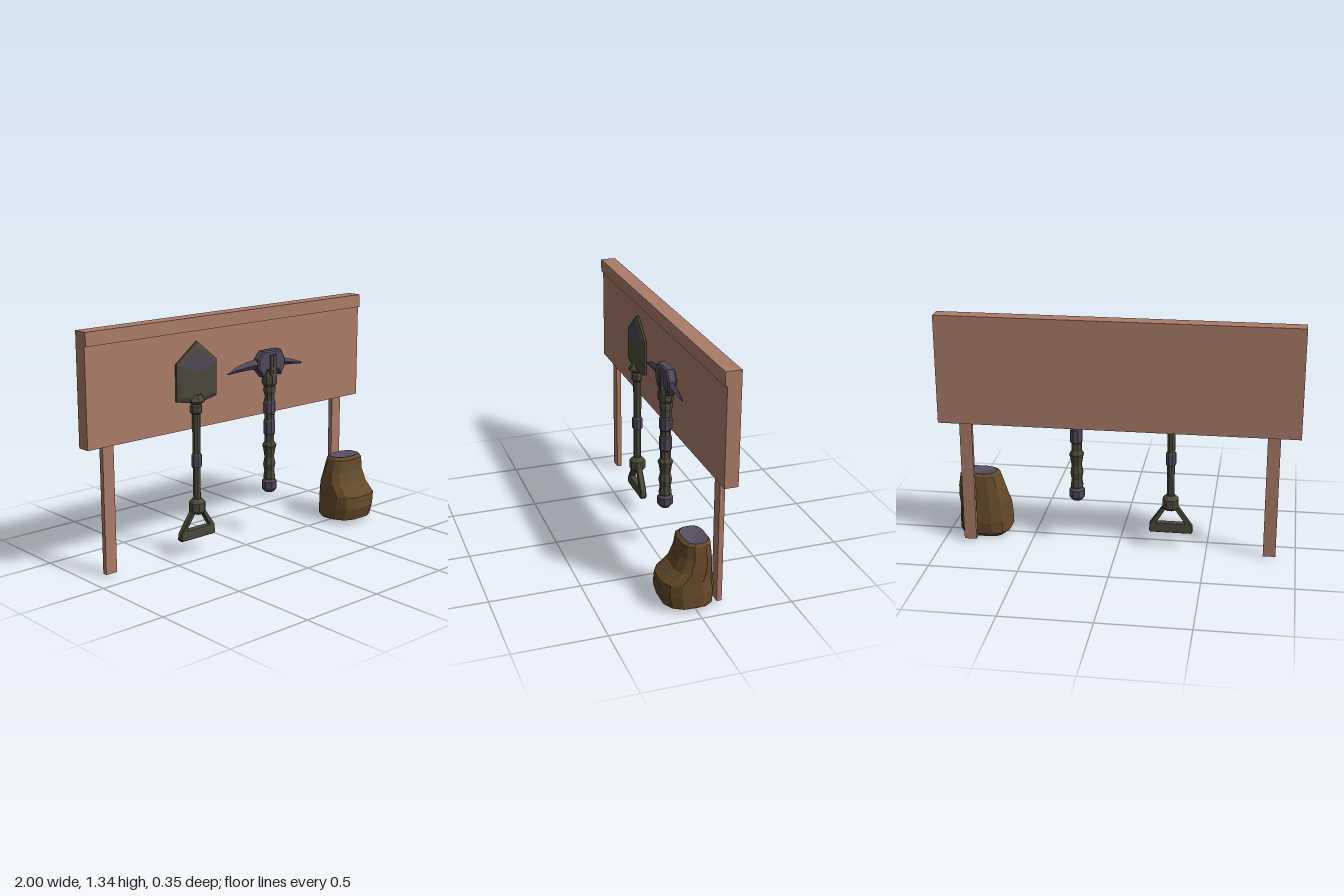
import * as THREE from 'three';

const material = (name, color, side = THREE.FrontSide) => {
  const m = new THREE.MeshStandardMaterial({ color, flatShading: true, side });
  m.name = name;
  return m;
};

// Skin a list of closed rings (arrays of [x, y, z]) and cap both ends; faces always point outwards
function loft(rings, capEnd = true) {
  const n = rings[0].length, tris = [];
  const mid = (r) => [0, 1, 2].map((k) => r.reduce((s, p) => s + p[k], 0) / n);
  const first = rings[0], last = rings[rings.length - 1];
  const c0 = mid(first), c1 = mid(last);
  for (let j = 0; j < n; j++) {
    const k = (j + 1) % n;
    tris.push([c0, first[k], first[j]]);
    if (capEnd) tris.push([c1, last[j], last[k]]);
    for (let i = 0; i < rings.length - 1; i++) {
      const a = rings[i], b = rings[i + 1];
      tris.push([a[j], a[k], b[k]], [a[j], b[k], b[j]]);
    }
  }
  const v = (p) => new THREE.Vector3(...p).sub(new THREE.Vector3(...c0));
  const volume = tris.reduce((s, t) => s + v(t[0]).dot(v(t[1]).cross(v(t[2]))), 0);
  if (volume < 0) tris.forEach((t) => t.reverse());
  const g = new THREE.BufferGeometry();
  g.setAttribute('position', new THREE.Float32BufferAttribute(tris.flat(2), 3));
  g.computeVertexNormals();
  return g;
}

const shapeOf = (pts) => new THREE.Shape(pts.map(([x, y]) => new THREE.Vector2(x, y)));

// Eight-sided turned part; profile rows are [half width, y]
function turned(profile) {
  const pts = profile.map(([r, y]) => new THREE.Vector2(r / Math.cos(Math.PI / 8), y));
  pts.unshift(new THREE.Vector2(0, pts[0].y));
  pts.push(new THREE.Vector2(0, pts[pts.length - 1].y));
  return new THREE.LatheGeometry(pts, 8, Math.PI / 8);
}

export function createModel() {
  const wood = material('board wood', 0xaa7b68);
  const olive = material('olive metal', 0x4b493b);
  const steel = material('purple steel', 0x504859);
  const cloth = material('brown cloth', 0x654a2a);
  const patchMat = material('grey patch', 0x504d3d, THREE.DoubleSide);
  const lining = material('bag lining', 0x564f60, THREE.DoubleSide);

  const model = new THREE.Group();
  const group = (name) => {
    const g = new THREE.Group();
    g.name = name;
    model.add(g);
    return g;
  };
  const add = (parent, name, geo, mat, x = 0, y = 0, z = 0) => {
    const m = new THREE.Mesh(geo, mat);
    m.name = name;
    m.position.set(x, y, z);
    parent.add(m);
    return m;
  };
  const box = (parent, name, mat, x0, x1, y0, y1, z0, z1) =>
    add(parent, name, new THREE.BoxGeometry(x1 - x0, y1 - y0, z1 - z0), mat,
      (x0 + x1) / 2, (y0 + y1) / 2, (z0 + z1) / 2);

  // Sign board on two posts
  const sign = group('signBoard');
  box(sign, 'panel', wood, -1, 1, 0.725, 1.265, -0.175, -0.1);
  box(sign, 'topTrim', wood, -1, 1, 1.265, 1.34, -0.175, -0.088);
  box(sign, 'rightPost', wood, -0.89, -0.82, 0.015, 0.725, -0.153, -0.125);
  box(sign, 'leftPost', wood, 0.815, 0.885, 0.015, 0.725, -0.153, -0.125);

  // Shovel, built around its own shaft axis
  const shovel = group('shovel');
  shovel.position.set(-0.293, 0, -0.084);
  const blade = [[-0.137, 0.895], [-0.137, 1.1], [0.008, 1.21], [0.143, 1.1], [0.143, 0.895], [0.05, 0.875], [-0.04, 0.875]];
  const bladeRing = (s, z) => blade.map(([x, y]) => [0.003 + (x - 0.003) * s, 1.03 + (y - 1.03) * s, z]);
  add(shovel, 'blade', loft([bladeRing(0.8, -0.014), bladeRing(1, -0.006), bladeRing(1, 0.006), bladeRing(0.82, 0.019)]), olive);
  add(shovel, 'bladeTip', new THREE.ShapeGeometry(shapeOf(
    [[-0.108, 1.088], [-0.05, 1.055], [0.003, 1.045], [0.06, 1.055], [0.114, 1.088], [0.007, 1.172]])), steel, 0, 0, 0.021);
  add(shovel, 'shaft', turned([[0.02, 0.3], [0.022, 0.81], [0.032, 0.82], [0.032, 0.855], [0.025, 0.865], [0.05, 0.885], [0.03, 0.92]]), olive);
  add(shovel, 'shaftBand', turned([[0.022, 0.505], [0.028, 0.515], [0.028, 0.575], [0.022, 0.585]]), steel);
  add(shovel, 'shaftSocket', turned([[0.03, 0.24], [0.044, 0.255], [0.044, 0.305], [0.024, 0.328]]), olive);
  const grip = shapeOf([[-0.128, 0.11], [-0.12, 0.1], [0.112, 0.1], [0.118, 0.11], [0.115, 0.155], [0.04, 0.265], [-0.04, 0.265], [-0.125, 0.145]]);
  grip.holes.push(new THREE.Path([[-0.085, 0.16], [-0.025, 0.245], [0.025, 0.245], [0.078, 0.16]].map(([x, y]) => new THREE.Vector2(x, y))));
  add(shovel, 'handGrip', new THREE.ExtrudeGeometry(grip, {
    depth: 0.026, bevelEnabled: true, bevelSize: 0.004, bevelThickness: 0.005, bevelOffset: -0.004, bevelSegments: 1,
  }), olive, 0, 0, -0.013);

  // Pickaxe, built around its own handle axis
  const pick = group('pickaxe');
  pick.position.set(0.24, 0, -0.068);
  add(pick, 'handle', turned([[0.028, 0.33], [0.034, 0.35], [0.028, 0.39], [0.035, 0.43], [0.027, 0.47], [0.034, 0.52],
    [0.04, 0.54], [0.028, 0.56], [0.027, 0.84], [0.033, 0.86], [0.033, 0.88], [0.03, 0.89], [0.042, 0.91], [0.042, 0.95], [0.03, 0.98]]), olive);
  for (const [name, y0, y1] of [['upperBand', 0.73, 0.8], ['lowerBand', 0.61, 0.69]])
    add(pick, name, turned([[0.026, y0 - 0.006], [0.033, y0 + 0.004], [0.033, y1 - 0.004], [0.026, y1 + 0.006]]), steel);
  add(pick, 'pommel', turned([[0.024, 0.262], [0.042, 0.283], [0.042, 0.325], [0.028, 0.342]]), steel);
  const head = shapeOf([[-0.065, 1.1], [-0.105, 1.055], [-0.108, 1.0], [-0.065, 0.95], [-0.04, 0.985], [0.04, 0.985],
    [0.068, 0.95], [0.1, 1.0], [0.1, 1.045], [0.067, 1.1]]);
  add(pick, 'head', new THREE.ExtrudeGeometry(head, {
    depth: 0.036, bevelEnabled: true, bevelSize: 0.008, bevelThickness: 0.008, bevelOffset: -0.008, bevelSegments: 1,
  }), steel, 0, 0, -0.018);
  for (const s of [-1, 1])
    box(pick, 'headStrap', olive, s * 0.014 - 0.009, s * 0.014 + 0.009, 0.91, 1.075, -0.03, 0.036);
  box(pick, 'headWedge', steel, -0.006, 0.006, 0.92, 1.07, -0.028, 0.04);

  // Tapering spikes with diamond sections: [x, top, bottom, half depth]
  const spike = (rows) => loft(rows.map(([x, t, b, d]) => {
    const m = (t + b) / 2;
    return [[x, t, 0], [x, m, d], [x, b, 0], [x, m, -d]];
  }));
  add(pick, 'longSpike', spike([[-0.08, 1.062, 0.998, 0.022], [-0.16, 1.052, 1.002, 0.018], [-0.25, 1.034, 1.0, 0.012], [-0.32, 1.001, 0.996, 0.002]]), steel);
  add(pick, 'shortSpike', spike([[0.08, 1.048, 0.998, 0.022], [0.16, 1.028, 0.996, 0.015], [0.25, 1.0, 0.988, 0.004]]), steel);

  // Slumped sack from cross-sections: [y, x0, x1, back z, front z]
  const sack = group('sack');
  const rows = [
    [0.005, 0.69, 0.9, -0.09, 0.02], [0.03, 0.645, 0.935, -0.115, 0.155], [0.1, 0.645, 0.94, -0.12, 0.175],
    [0.17, 0.65, 0.94, -0.112, 0.17], [0.23, 0.66, 0.936, -0.108, 0.1], [0.3, 0.678, 0.932, -0.1, 0.07],
    [0.375, 0.7, 0.925, -0.09, 0.065], [0.39, 0.715, 0.915, -0.08, 0.045],
  ];
  const sides = 12;
  const power = (v) => Math.sign(v) * Math.abs(v) ** 0.7 / Math.cos(Math.PI / 12) ** 0.7;
  const sackRing = ([y, x0, x1, z0, z1], i) => Array.from({ length: sides }, (_, j) => {
    const a = (j + 0.5) / sides * Math.PI * 2;
    const onFront = j === 0 || j === sides - 1;
    const k = onFront ? 1 : 0.98 + 0.025 * Math.sin(i * 4.7 + j * 7.3);
    return [(x0 + x1) / 2 + (x1 - x0) / 2 * power(Math.sin(a)) * k, y, (z0 + z1) / 2 + (z1 - z0) / 2 * power(Math.cos(a)) * k];
  });
  const rings = rows.map(sackRing);
  add(sack, 'sackBody', loft(rings, false), cloth).material.side = THREE.DoubleSide;

  // Sunken mouth of the sack
  const rim = rings[rings.length - 1];
  const mouth = rim.flatMap((p, j) => [[0.815, 0.372, -0.015], p, rim[(j + 1) % sides]]);
  const mouthGeo = new THREE.BufferGeometry();
  mouthGeo.setAttribute('position', new THREE.Float32BufferAttribute(mouth.flat(), 3));
  mouthGeo.computeVertexNormals();
  add(sack, 'sackMouth', mouthGeo, lining);

  // Worn patches that follow the sack's front
  const frontZ = (y) => {
    const i = rows.findIndex((r) => r[0] >= y);
    const a = rows[i - 1], b = rows[i];
    return a[4] + (b[4] - a[4]) * (y - a[0]) / (b[0] - a[0]);
  };
  const patches = [
    [[0.77, 0.295], [0.785, 0.275], [0.825, 0.272], [0.842, 0.292], [0.81, 0.298]],
    [[0.79, 0.215], [0.815, 0.2], [0.845, 0.208], [0.825, 0.218]],
    [[0.745, 0.158], [0.77, 0.138], [0.835, 0.132], [0.86, 0.148], [0.8, 0.152]],
  ];
  for (const pts of patches) {
    const geo = new THREE.ShapeGeometry(shapeOf(pts));
    const pos = geo.attributes.position;
    for (let i = 0; i < pos.count; i++) pos.setZ(i, frontZ(pos.getY(i)) + 0.004);
    geo.computeVertexNormals();
    add(sack, 'sackPatch', geo, patchMat);
  }
  return model;
}
